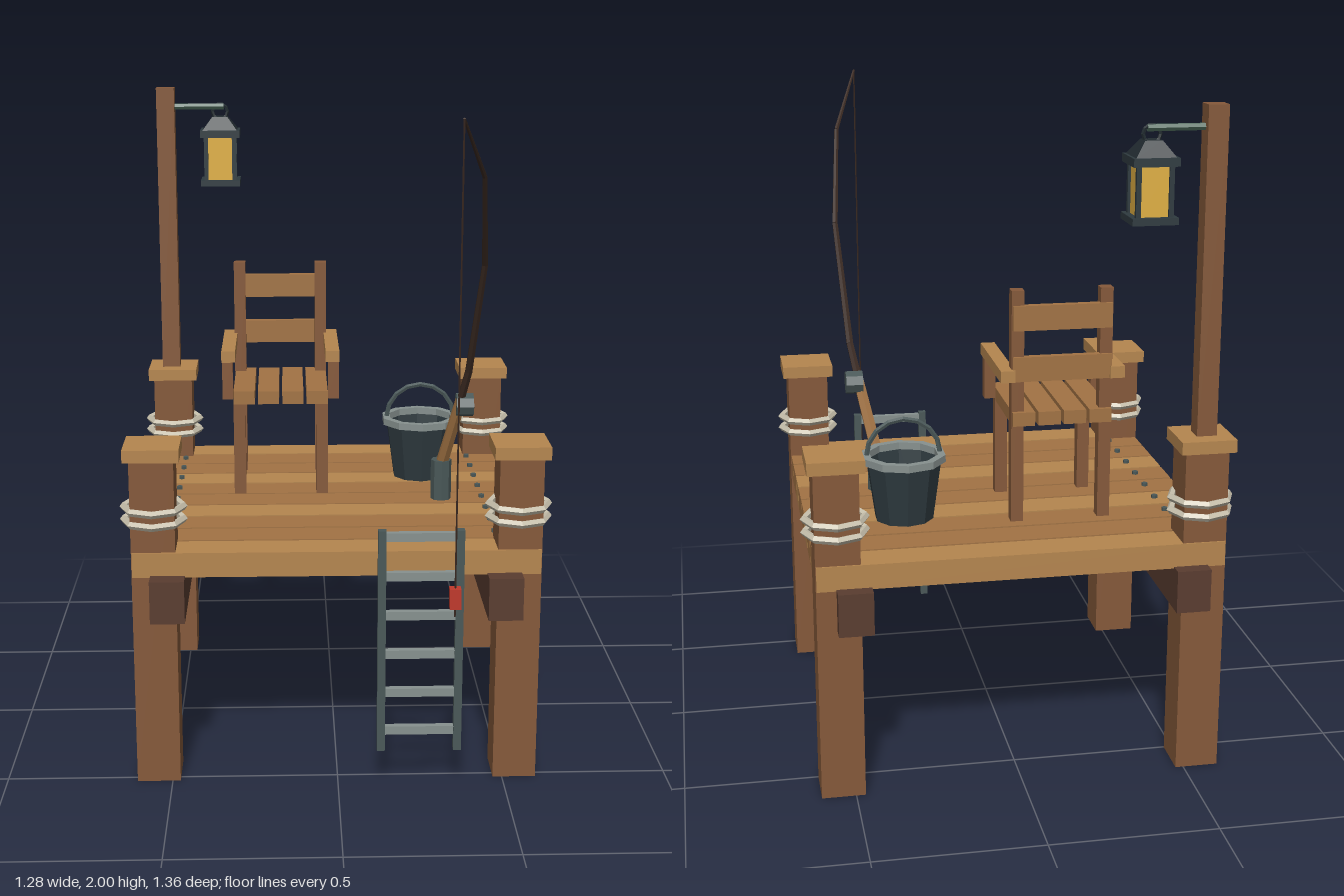
import * as THREE from 'three';

const C = {
  post: 0x85593a, light: 0xb5864f, plank: 0xa27344, beam: 0x5a3d30, rope: 0xc9c2ae,
  iron: 0x4a5858, dark: 0x2e3a3f, black: 0x222c31, steel: 0x87918f, arm: 0x4a6658,
  glass: 0xe0b043, rod: 0x3b2a22, red: 0xc0392b,
};
const mats = {};
const mat = (color, double = false) => (mats[color + '_' + double] ??= new THREE.MeshStandardMaterial({
  color, flatShading: true, side: double ? THREE.DoubleSide : THREE.FrontSide,
}));

function add(parent, name, geo, color, x = 0, y = 0, z = 0, double = false) {
  const m = new THREE.Mesh(geo, mat(color, double));
  m.name = name;
  m.position.set(x, y, z);
  parent.add(m);
  return m;
}
const box = (p, name, color, w, h, d, x, y, z) =>
  add(p, name, new THREE.BoxGeometry(w, h, d), color, x, y, z);

// Tapered rod from point a to point b
function strut(p, name, color, a, b, ra, rb, sides = 6) {
  const A = new THREE.Vector3(...a), B = new THREE.Vector3(...b);
  const dir = B.clone().sub(A);
  const m = add(p, name, new THREE.CylinderGeometry(rb, ra, dir.length(), sides), color);
  m.position.copy(A).add(B).multiplyScalar(0.5);
  m.quaternion.setFromUnitVectors(new THREE.Vector3(0, 1, 0), dir.normalize());
  return m;
}

function group(parent, name, x = 0, y = 0, z = 0) {
  const g = new THREE.Group();
  g.name = name;
  g.position.set(x, y, z);
  parent.add(g);
  return g;
}

function buildDock(root) {
  const g = group(root, 'dock');
  // Deck planks with nail heads over the beams
  for (let i = 0; i < 10; i++) {
    const z = -0.583 + i * 0.1178;
    box(g, 'plank', i % 3 === 0 ? C.light : C.plank, 1.204, 0.075, 0.108, -0.002, 0.6925, z);
    if (i > 0 && i < 9) for (const x of [-0.5, 0.481])
      add(g, 'nail', new THREE.CylinderGeometry(0.01, 0.01, 0.012, 6), C.iron, x, 0.734, z);
  }
  for (const x of [-0.5, 0.492]) box(g, 'beam', C.beam, 0.102, 0.13, 1.264, x, 0.595, -0.047);
  // Corner posts with caps and rope wraps
  for (const x of [-0.541, 0.537]) for (const z of [-0.567, 0.46]) {
    const p = group(g, 'cornerPost', x, 0, z);
    box(p, 'post', C.post, 0.13, 1.01, 0.13, 0, 0.505, 0);
    box(p, 'postCap', C.light, 0.164, 0.038, 0.164, 0, 1.026, 0);
    for (const y of [0.814, 0.853])
      add(p, 'rope', new THREE.TorusGeometry(0.088, 0.012, 5, 8).rotateX(Math.PI / 2), C.rope, 0, y, 0);
  }
}

function buildLantern(root) {
  box(root, 'lampPost', C.post, 0.06, 0.96, 0.06, -0.547, 1.52, -0.566);
  strut(root, 'lampArm', C.arm, [-0.53, 1.937, -0.566], [-0.352, 1.937, -0.566], 0.011, 0.011);
  const g = group(root, 'lantern', -0.365, 0, -0.566);
  add(g, 'ring', new THREE.TorusGeometry(0.025, 0.006, 5, 10), C.black, 0, 1.92, 0);
  // Roof frustum, eaves and base
  const s = Math.SQRT1_2;
  add(g, 'roof', new THREE.CylinderGeometry(0.05 * s, 0.118 * s, 0.045, 4).rotateY(Math.PI / 4), C.black, 0, 1.882, 0);
  box(g, 'eaves', C.dark, 0.132, 0.024, 0.132, 0, 1.849, 0);
  box(g, 'base', C.dark, 0.132, 0.02, 0.132, 0, 1.685, 0);
  box(g, 'glass', C.glass, 0.092, 0.145, 0.092, 0, 1.766, 0);
  for (const x of [-0.047, 0.047]) for (const z of [-0.047, 0.047])
    box(g, 'cornerBar', C.dark, 0.014, 0.145, 0.014, x, 1.766, z);
}

function buildChair(root) {
  const g = group(root, 'chair', -0.166, 0, 0);
  for (let i = 0; i < 4; i++)
    box(g, 'seatSlat', C.plank, 0.068, 0.042, 0.345, -0.117 + i * 0.078, 1.056, -0.205);
  for (const s of [-1, 1]) {
    box(g, 'frontLeg', C.post, 0.038, 0.31, 0.038, s * 0.133, 0.885, -0.073);
    box(g, 'backLeg', C.post, 0.038, 0.715, 0.04, s * 0.134, 1.0875, -0.343);
    box(g, 'armSupport', C.post, 0.034, 0.13, 0.038, s * 0.17, 1.11, -0.08);
    box(g, 'armrest', C.light, 0.044, 0.036, 0.35, s * 0.166, 1.19, -0.207);
  }
  for (const y of [1.208, 1.363]) box(g, 'backRail', C.plank, 0.3, 0.075, 0.024, 0, y, -0.36);
}

function buildBucket(root) {
  const g = group(root, 'bucket', 0.3, 0.73, -0.263);
  add(g, 'bucketWall', new THREE.CylinderGeometry(0.118, 0.09, 0.2, 10, 1, true), C.dark, 0, 0.1, 0, true);
  add(g, 'bucketFloor', new THREE.CylinderGeometry(0.091, 0.09, 0.014, 10), C.dark, 0, 0.009, 0);
  // Rim band as a closed turned profile
  const rim = [[0.106, 0.183], [0.13, 0.183], [0.13, 0.205], [0.106, 0.205], [0.106, 0.183]]
    .map(([r, y]) => new THREE.Vector2(r, y));
  add(g, 'rim', new THREE.LatheGeometry(rim, 10), C.steel);
  add(g, 'handle', new THREE.TorusGeometry(0.112, 0.008, 5, 8, Math.PI), C.iron, 0, 0.2, 0);
}

function buildFishingRod(root) {
  const g = group(root, 'fishingRod');
  add(g, 'rodHolder', new THREE.CylinderGeometry(0.033, 0.033, 0.13, 8), C.iron, 0.348, 0.795, 0.01);
  strut(g, 'rodGrip', C.plank, [0.34, 0.8, -0.008], [0.399, 1.085, 0.108], 0.021, 0.018);
  // Bent rod in tapering lengths
  const path = [[0.397, 1.08, 0.106], [0.416, 1.18, 0.146], [0.44, 1.54, 0.305], [0.412, 1.818, 0.487], [0.333, 1.993, 0.662]];
  const radii = [0.013, 0.012, 0.0095, 0.0075, 0.004];
  for (let i = 0; i < 4; i++) strut(g, 'rod', C.rod, path[i], path[i + 1], radii[i], radii[i + 1]);
  add(g, 'reel', new THREE.CylinderGeometry(0.037, 0.037, 0.054, 8).rotateZ(Math.PI / 2), C.iron, 0.41, 1.063, 0.098);
  strut(g, 'fishingLine', C.rod, [0.333, 0.575, 0.664], [0.333, 1.993, 0.664], 0.0025, 0.0025, 4);
  box(g, 'float', C.red, 0.033, 0.06, 0.033, 0.333, 0.633, 0.664);
}

function buildLadder(root) {
  const g = group(root, 'ladder', 0.241, 0, 0.575);
  for (const s of [-1, 1]) box(g, 'ladderRail', C.iron, 0.024, 0.69, 0.024, s * 0.114, 0.465, 0);
  for (let i = 0; i < 6; i++) box(g, 'rung', C.steel, 0.21, 0.026, 0.02, 0, 0.184 + i * 0.1212, 0);
}

export function createModel() {
  const root = new THREE.Group();
  root.name = 'fishingDock';
  for (const build of [buildDock, buildLantern, buildChair, buildBucket, buildFishingRod, buildLadder]) build(root);
  return root;
}
